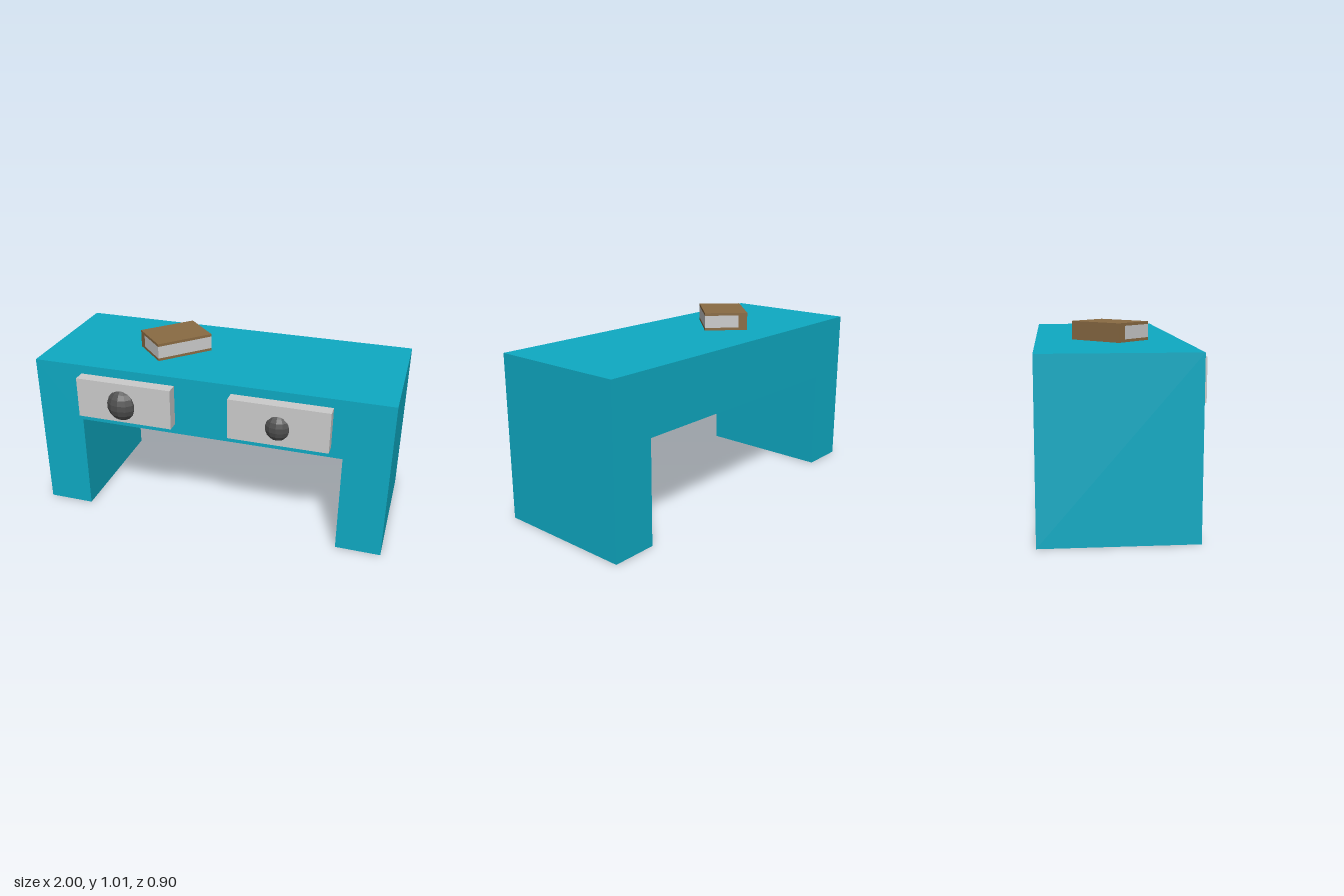
import * as THREE from 'three';

const paint = (color, extra = {}) => new THREE.MeshStandardMaterial({ color, ...extra });

function part(name, geometry, material, x = 0, y = 0, z = 0) {
  const mesh = new THREE.Mesh(geometry, material);
  mesh.name = name;
  mesh.position.set(x, y, z);
  return mesh;
}

export function createModel() {
  const model = new THREE.Group();
  model.name = 'desk';
  const teal = paint(0x0eaac3);
  const grey = paint(0xcccccc);
  const brown = paint(0x8a6b43);
  const dark = paint(0x505050, { flatShading: true });

  // Desk body: a thick top on two slab legs, as one extruded arch
  const outline = [[-1, 0], [-0.74, 0], [-0.74, 0.57], [0.75, 0.57], [0.75, 0], [1, 0], [1, 0.91], [-1, 0.91]];
  const arch = new THREE.Shape(outline.map(([x, y]) => new THREE.Vector2(x, y)));
  const body = new THREE.ExtrudeGeometry(arch, { depth: 0.78, bevelEnabled: false });
  model.add(part('deskBody', body, teal, 0, 0, -0.45));

  // Drawer fronts with faceted knobs sunk into them
  const drawers = [
    { side: 'right', x: -0.45, knobX: -0.465, radii: [0.088, 0.095, 0.077] },
    { side: 'left', x: 0.413, knobX: 0.41, radii: [0.073, 0.08, 0.06] },
  ];
  for (const { side, x, knobX, radii } of drawers) {
    const drawer = new THREE.Group();
    drawer.name = `${side}Drawer`;
    drawer.add(part('drawerFront', new THREE.BoxGeometry(0.545, 0.23, 0.067), grey, x, 0.745, 0.3635));
    const knob = part('drawerKnob', new THREE.SphereGeometry(1, 12, 9), dark, knobX, 0.73, 0.37);
    knob.scale.set(...radii);
    drawer.add(knob);
    model.add(drawer);
  }

  // Book lying at an angle, its spine along the local -z side
  const book = new THREE.Group();
  book.name = 'book';
  const length = 0.33, width = 0.244, height = 0.1, cover = 0.015, spine = 0.05;
  const inner = height - 2 * cover;
  book.add(
    part('bottomCover', new THREE.BoxGeometry(length, cover, width), brown, 0, cover / 2),
    part('topCover', new THREE.BoxGeometry(length, cover, width), brown, 0, height - cover / 2),
    part('spine', new THREE.BoxGeometry(length, inner, spine), brown, 0, height / 2, (spine - width) / 2),
    part('pages', new THREE.BoxGeometry(length, inner, width - spine), grey, 0, height / 2, spine / 2),
  );
  book.position.set(-0.302, 0.91, -0.051);
  book.rotation.y = Math.PI / 4;
  model.add(book);

  return model;
}
